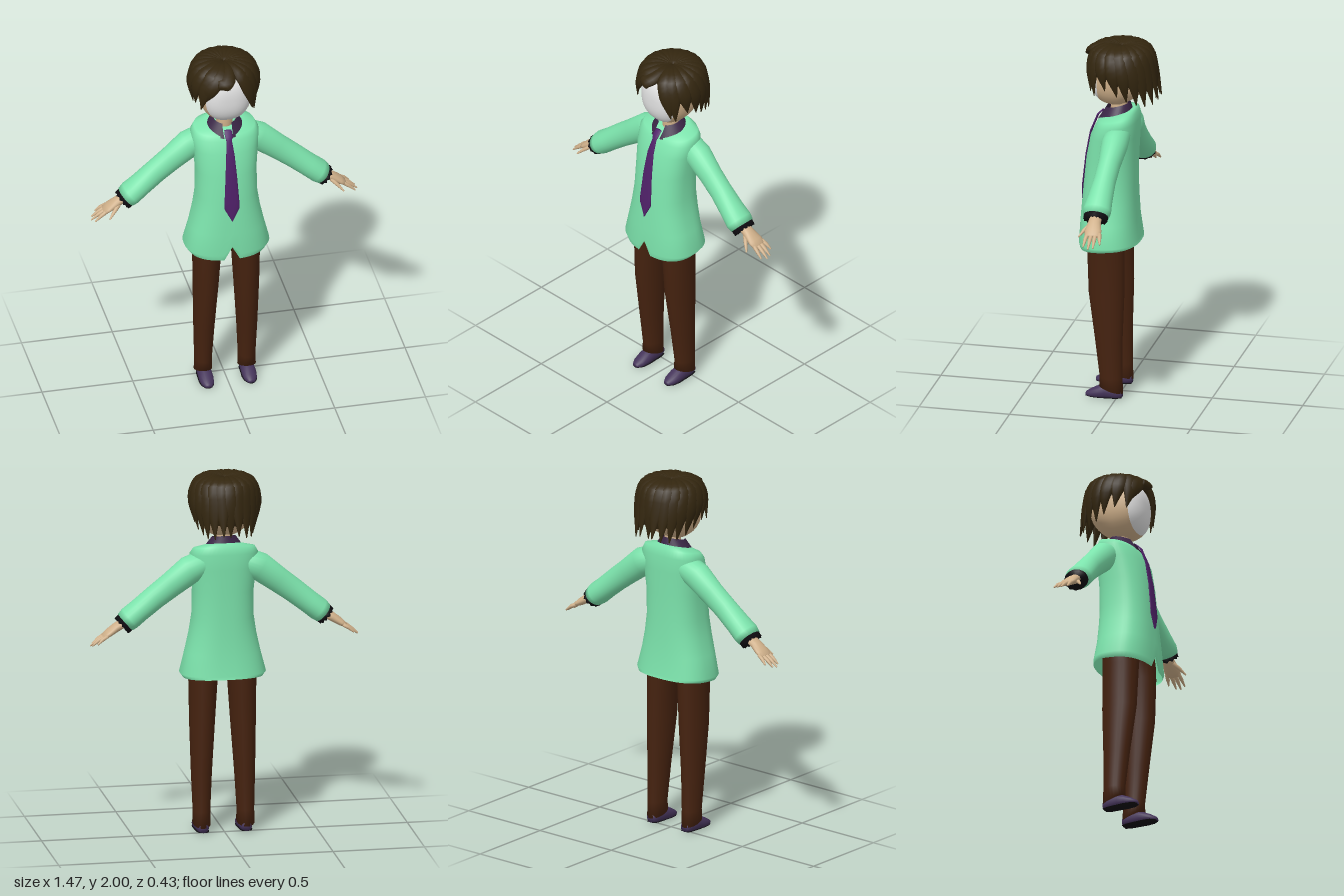
import * as THREE from 'three';
import { mergeVertices, mergeGeometries } from 'three/addons/utils/BufferGeometryUtils.js';
import { ParametricGeometry } from 'three/addons/geometries/ParametricGeometry.js';

const V = (x, y, z) => new THREE.Vector3(x, y, z);
const UP = V(0, 1, 0), FRONT = V(0, 0, 1);

const mat = (name, color, side = THREE.FrontSide) => {
  const m = new THREE.MeshStandardMaterial({ color, side });
  m.name = name;
  return m;
};

// Skin a row of ellipses [x, y, z, ru, rv]; rv lies along hint, ru across it.
// axis fixes the ring direction, otherwise it follows the path.
function loft(rows, { n = 20, e = 2, axis = null, hint = FRONT, caps = [true, true], tweak = null } = {}) {
  const pos = [], idx = [], centres = rows.map(r => V(r[0], r[1], r[2]));
  const power = s => Math.sign(s) * Math.abs(s) ** (2 / e);
  rows.forEach((r, i) => {
    const d = axis ? axis.clone()
      : centres[Math.min(i + 1, rows.length - 1)].clone().sub(centres[Math.max(i - 1, 0)]).normalize();
    const v = hint.clone().addScaledVector(d, -d.dot(hint)).normalize();
    const u = v.clone().cross(d);
    for (let j = 0; j < n; j++) {
      const a = j / n * Math.PI * 2;
      const p = centres[i].clone().addScaledVector(u, r[3] * power(Math.cos(a))).addScaledVector(v, r[4] * power(Math.sin(a)));
      if (tweak) tweak(p, i, j);
      pos.push(p.x, p.y, p.z);
    }
  });
  for (let i = 0; i < rows.length - 1; i++)
    for (let j = 0; j < n; j++) {
      const k = (j + 1) % n, a = i * n + j, b = i * n + k, c = b + n, d = a + n;
      idx.push(a, b, c, a, c, d);
    }
  [0, rows.length - 1].forEach((i, end) => {
    if (!caps[end]) return;
    const m = V(0, 0, 0), c = pos.length / 3;
    for (let j = 0; j < n; j++) m.add(V(...pos.slice((i * n + j) * 3, (i * n + j) * 3 + 3)));
    m.divideScalar(n);
    pos.push(m.x, m.y, m.z);
    for (let j = 0; j < n; j++) {
      const a = i * n + j, b = i * n + (j + 1) % n;
      idx.push(c, ...(end ? [a, b] : [b, a]));
    }
  });
  const g = new THREE.BufferGeometry();
  g.setAttribute('position', new THREE.Float32BufferAttribute(pos, 3));
  g.setIndex(idx);
  g.computeVertexNormals();
  return g;
}

function mirrored(geo) {
  const g = geo.clone().scale(-1, 1, 1);
  g.setIndex(Array.from(geo.index.array).reverse());
  g.computeVertexNormals();
  return g;
}

// Rounded head slice between two angles measured from the face centre
function headPart(from, length) {
  let g = new THREE.SphereGeometry(1, 36, 18, 0, Math.PI * 2, from, length).rotateX(Math.PI / 2);
  const p = g.attributes.position;
  for (let i = 0; i < p.count; i++) {
    const a = Math.atan2(p.getY(i), p.getX(i)), z = p.getZ(i);
    const rho = Math.max(0, 1 - Math.abs(z) ** 2.6) ** (1 / 2.6);
    const k = rho / (Math.abs(Math.cos(a)) ** 2.3 + Math.abs(Math.sin(a)) ** 2.3) ** (1 / 2.3);
    let y = Math.sin(a) * k;
    if (y < 0 && z < 0) y *= 1 + 0.35 * z;
    p.setXYZ(i, Math.cos(a) * k * 0.143, 1.81 + y * 0.163, 0.01 + z * 0.155);
  }
  g.deleteAttribute('uv');
  g.deleteAttribute('normal');
  g = mergeVertices(g, 1e-5);
  g.computeVertexNormals();
  return g;
}

// Tapered lock running from the crown over the skull to a pointed tip
function hairLock(startDeg, tipDeg, tipY, tipR) {
  const profile = [[0.005, 1.97], [0.08, 1.977], [0.148, 1.952], [0.183, 1.952 + (tipY - 1.952) * 0.4], [tipR, tipY]];
  const curve = new THREE.CatmullRomCurve3(profile.map(([r, y], i) => {
    const a = THREE.MathUtils.degToRad(startDeg + (tipDeg - startDeg) * (i / 4) ** 1.6);
    return V(r * Math.sin(a), y, r * Math.cos(a));
  }));
  const half = [0.012, 0.034, 0.047, 0.042, 0.002], thick = [0.012, 0.022, 0.024, 0.017, 0.002];
  const at = (list, t) => {
    const i = Math.min(3, Math.floor(t * 4));
    return THREE.MathUtils.lerp(list[i], list[i + 1], t * 4 - i);
  };
  const rows = [];
  for (let i = 0; i <= 14; i++) {
    const t = i / 14, p = curve.getPoint(t);
    rows.push([p.x, p.y, p.z, at(thick, t), at(half, t)]);
  }
  const a = THREE.MathUtils.degToRad((startDeg + tipDeg) / 2);
  return loft(rows, { n: 10, hint: V(Math.cos(a), 0, -Math.sin(a)) });
}

export function createModel() {
  const model = new THREE.Group();
  model.name = 'standingFigure';
  const skin = mat('skin', 0xcfb08a), face = mat('blankFace', 0xe2e2e2), hair = mat('hair', 0x33260f);
  const green = mat('jacketGreen', 0x7ce3ac, THREE.DoubleSide), brown = mat('trouserBrown', 0x45220f);
  const plum = mat('collarPlum', 0x3a2646, THREE.DoubleSide), purple = mat('tiePurple', 0x4f2068);
  const shoe = mat('shoePurple', 0x45345a), black = mat('black', 0x100d12);

  const add = (name, geo, material) => {
    const m = new THREE.Mesh(geo, material);
    m.name = name;
    model.add(m);
  };
  const pair = (name, geo, material) => {
    add('left' + name, geo, material);
    add('right' + name, mirrored(geo), material);
  };

  // Head, face and neck
  const cut = 0.87;
  add('face', headPart(0, cut), face);
  add('head', headPart(cut, Math.PI - cut), skin);
  add('neck', loft([[0, 1.55, 0.02, 0.045, 0.045], [0, 1.7, 0.01, 0.045, 0.045]], { axis: UP }), skin);

  // Hair: scalp cap and radiating locks
  const cap = new THREE.SphereGeometry(1, 32, 14, 0, Math.PI * 2, 0, Math.PI / 2)
    .rotateX(-0.5).scale(0.163, 0.155, 0.16).translate(0, 1.82, -0.028);
  const locks = [
    [4, -22, 1.9, 0.178], [-14, -48, 1.8, 0.185], [-34, -52, 1.76, 0.19],
    [24, 42, 1.75, 0.19], [40, 50, 1.73, 0.185], [180, 180, 1.69, 0.19],
  ];
  const sideLocks = [
    [56, 72, 1.77, 0.175], [74, 94, 1.74, 0.165], [92, 112, 1.71, 0.165], [110, 130, 1.69, 0.175],
    [127, 143, 1.68, 0.195], [144, 156, 1.685, 0.21], [162, 169, 1.7, 0.215],
  ];
  for (const [a, b, y, r] of sideLocks) locks.push([a, b, y, r], [-a, -b, y, r]);
  cap.deleteAttribute('uv');
  add('hairCap', cap, hair);
  add('hairLocks', mergeGeometries(locks.map(l => hairLock(...l))), hair);

  // Jacket body: [y, half width, front z, back z, forward slope], with a notch in the front hem
  const jacket = [
    [0.862, 0.215, 0.216, -0.11, 0.1], [0.885, 0.233, 0.221, -0.105, 0.05], [1.0, 0.203, 0.215, -0.092, 0],
    [1.1, 0.181, 0.208, -0.088, 0], [1.2, 0.166, 0.2, -0.085, 0], [1.35, 0.165, 0.185, -0.087, 0],
    [1.48, 0.178, 0.16, -0.093, 0], [1.555, 0.185, 0.13, -0.095, 0.1], [1.588, 0.165, 0.115, -0.085, 0.2],
    [1.605, 0.09, 0.09, -0.07, 0.25],
  ];
  add('jacketBody', loft(jacket.map(([y, w, f, b]) => [0, y, (f + b) / 2, w, (f - b) / 2]), {
    n: 48, e: 2.5, axis: UP, caps: [false, true],
    tweak: (p, i, j) => {
      p.y -= jacket[i][4] * (p.z - 0.02);
      if (j === 12 && i < 2) p.y = 0.92 + i * 0.005;
    },
  }), green);

  // Sleeves and jagged cuffs
  pair('Sleeve', loft([
    [0.1, 1.52, -0.005, 0.065, 0.07], [0.19, 1.473, -0.005, 0.078, 0.072], [0.29, 1.395, 0, 0.07, 0.06],
    [0.375, 1.33, 0.005, 0.066, 0.06], [0.46, 1.26, 0.01, 0.063, 0.069], [0.515, 1.215, 0.012, 0.064, 0.077],
    [0.54, 1.193, 0.012, 0.058, 0.071],
  ], { n: 24 }), green);
  pair('Cuff', loft([[0.52, 1.21, 0.012, 0.056, 0.067], [0.552, 1.182, 0.012, 0.055, 0.066]], {
    n: 24, tweak: (p, i, j) => { if (i && j % 2) p.add(V(0.009, -0.008, 0)); },
  }), black);

  // Hands
  const digit = (a, b) => {
    const mid = a.map((v, i) => (v + b[i]) / 2);
    return loft([[...a, 0.011, 0.012], [mid[0], mid[1] + 0.004, mid[2], 0.01, 0.011], [...b, 0.004, 0.004]], { n: 8 });
  };
  pair('Hand', mergeGeometries([
    loft([[0.54, 1.197, 0.01, 0.026, 0.032], [0.59, 1.168, 0.01, 0.025, 0.036],
      [0.635, 1.138, 0.006, 0.02, 0.046], [0.662, 1.12, 0.004, 0.012, 0.042]], { n: 16 }),
    digit([0.645, 1.13, -0.03], [0.7, 1.09, -0.046]),
    digit([0.65, 1.127, -0.01], [0.725, 1.075, -0.014]),
    digit([0.65, 1.127, 0.012], [0.732, 1.07, 0.012]),
    digit([0.645, 1.13, 0.034], [0.716, 1.076, 0.042]),
    digit([0.585, 1.158, 0.035], [0.645, 1.105, 0.084]),
  ]), skin);

  // Folded collar, open at the front
  add('collar', new ParametricGeometry((u, v, p) => {
    const gap = 0.4 - 0.18 * v, a = gap + (Math.PI * 2 - gap * 2) * u;
    const z = 0.02 + 0.015 * v + (0.066 + 0.026 * v) * Math.cos(a);
    const y = 1.645 - 0.055 * v - (0.25 + 0.1 * v) * (z - 0.02 - 0.015 * v);
    p.set((0.064 + 0.038 * v) * Math.sin(a), y, z);
  }, 32, 4), plum);

  // Tie lying on the jacket front: [y, half width, z]
  add('tie', loft([
    [1.085, 0.001, 0.215], [1.165, 0.042, 0.209], [1.2, 0.041, 0.206], [1.35, 0.032, 0.191],
    [1.48, 0.023, 0.168], [1.55, 0.015, 0.14], [1.575, 0.021, 0.13], [1.6, 0.02, 0.105],
  ].map(([y, w, z]) => [0, y, z, w, 0.006]), { n: 12, axis: UP }), purple);

  // Trouser legs with a slanted hem
  pair('TrouserLeg', loft([
    [0.12, 0.05, 0.03, 0.049, 0.065], [0.12, 0.12, 0.03, 0.047, 0.062], [0.118, 0.33, 0.043, 0.056, 0.075],
    [0.112, 0.6, 0.057, 0.068, 0.098], [0.106, 0.84, 0.062, 0.078, 0.102], [0.098, 0.92, 0.06, 0.1, 0.102],
    [0.09, 1.0, 0.06, 0.095, 0.095],
  ], { n: 24, axis: UP, tweak: (p, i) => { if (i === 0) p.y += 0.3 * (p.z - 0.03); } }), brown);

  // Shoes and dark soles
  const shoeRows = [
    [0.118, 0.03, -0.03, 0.025, 0.025], [0.118, 0.035, 0, 0.035, 0.042], [0.118, 0.036, 0.06, 0.038, 0.046],
    [0.118, 0.028, 0.1, 0.04, 0.037], [0.118, 0.02, 0.14, 0.035, 0.024], [0.118, 0.014, 0.168, 0.018, 0.012],
  ];
  const across = { n: 20, axis: FRONT, hint: UP };
  pair('Shoe', loft(shoeRows, { ...across, tweak: p => { p.y = Math.max(p.y, 0.006); } }), shoe);
  pair('Sole', loft(shoeRows, { ...across, tweak: p => { p.y = THREE.MathUtils.clamp(p.y, 0, 0.007); } }), black);

  return model;
}
